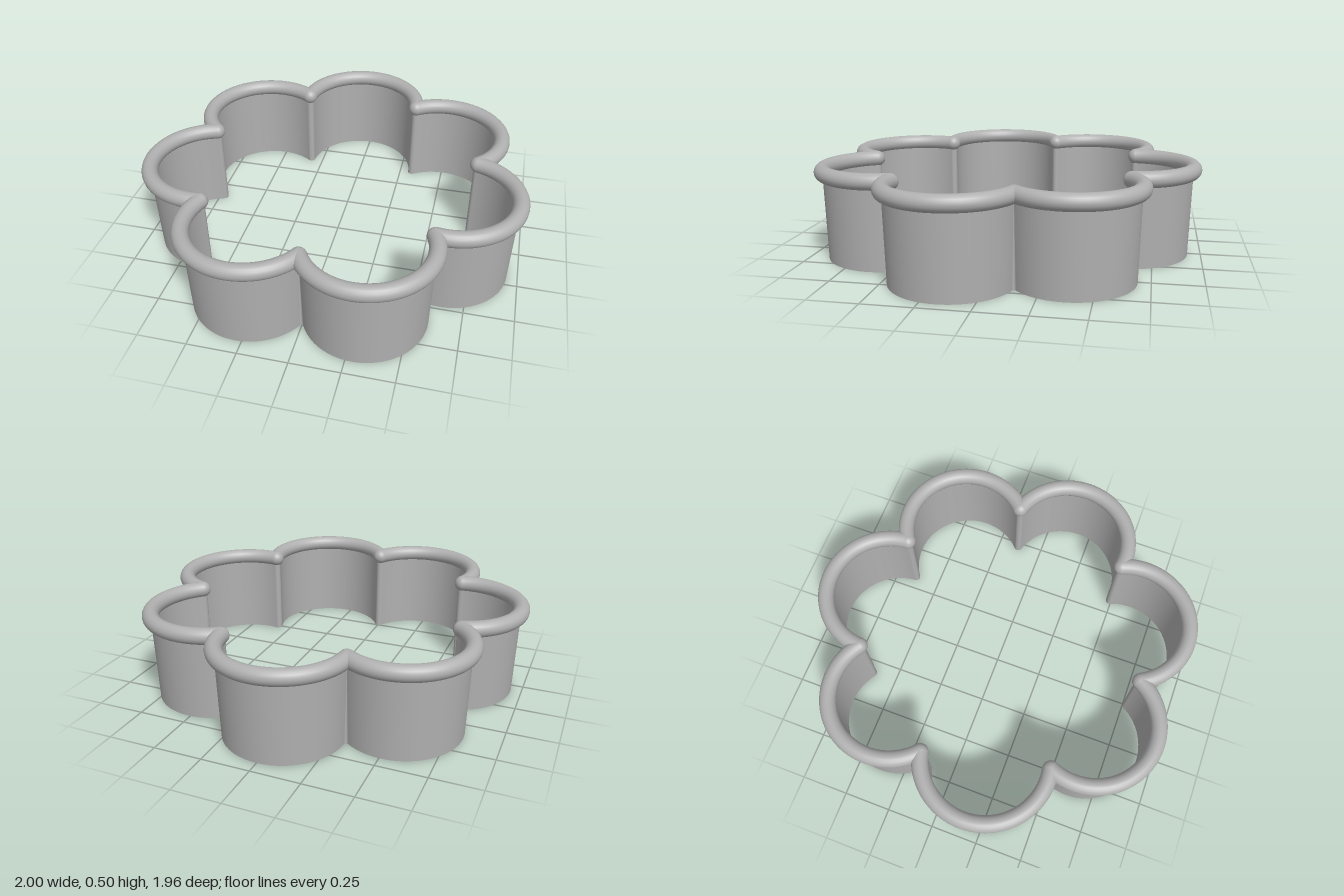
import * as THREE from 'three';

const PETALS = 7, BETA = Math.PI / PETALS;
const D = 0.65, R = 0.322;            // petal centre distance and petal radius
const TUBE = 0.042, RIM_Y = 0.455;    // rolled rim
const OFFSET_Z = 0.029;               // centres the odd-petalled outline in depth
const CUSP = D * Math.cos(BETA) + Math.sqrt(R * R - (D * Math.sin(BETA)) ** 2);
const PHI = Math.acos((CUSP * Math.cos(BETA) - D) / R); // half sweep of a petal arc

const dir = (a) => new THREE.Vector3(Math.sin(a), 0, -Math.cos(a));

// Closed outline: petal arcs, with a fan of normals at every cusp so inward offsets are rounded
function outline() {
  const pts = [], arc = 48, fan = 10;
  for (let k = 0; k < PETALS; k++) {
    const a = k * 2 * BETA;
    for (let i = 0; i <= arc; i++) {
      const n = dir(a - PHI + (2 * PHI * i) / arc);
      pts.push({ base: dir(a).multiplyScalar(D).addScaledVector(n, R), n });
    }
    const cusp = dir(a + BETA).multiplyScalar(CUSP);
    for (let i = 1; i < fan; i++) {
      const n = dir(a + PHI + ((2 * BETA - 2 * PHI) * i) / fan);
      pts.push({ base: cusp, n });
    }
  }
  pts.push(pts[0]);
  return pts;
}

// Strip between two offsets of the outline; each end is [inward offset, height]
function strip(pts, [t0, y0], [t1, y1]) {
  const pos = [], nor = [], index = [];
  const len = Math.hypot(t1 - t0, y1 - y0);
  const out = (y1 - y0) / len, up = (t1 - t0) / len;
  pts.forEach(({ base, n }, i) => {
    for (const [t, y] of [[t0, y0], [t1, y1]]) {
      pos.push(base.x - t * n.x, y, base.z - t * n.z);
      nor.push(n.x * out, up, n.z * out);
    }
    if (i < pts.length - 1) {
      const j = i * 2;
      index.push(j, j + 1, j + 2, j + 1, j + 3, j + 2);
    }
  });
  const g = new THREE.BufferGeometry();
  g.setAttribute('position', new THREE.Float32BufferAttribute(pos, 3));
  g.setAttribute('normal', new THREE.Float32BufferAttribute(nor, 3));
  g.setIndex(index);
  return g;
}

export function createModel() {
  const grey = new THREE.MeshStandardMaterial({ color: 0xb0b0b0 });
  grey.name = 'grey';
  const model = new THREE.Group();
  model.name = 'flowerCutter';
  const add = (parent, name, geometry) => {
    const mesh = new THREE.Mesh(geometry, grey);
    mesh.name = name;
    parent.add(mesh);
    return mesh;
  };

  // Thin wall, narrowing to the cutting edge at the bottom
  const wall = new THREE.Group();
  wall.name = 'wall';
  const profile = [[0.022, RIM_Y], [0.022, 0], [0.011, 0], [0, RIM_Y]];
  const pts = outline();
  ['innerWall', 'cuttingEdge', 'outerWall'].forEach((name, i) =>
    add(wall, name, strip(pts, profile[i], profile[i + 1])));

  // Rounded rim: one tube arc per petal with a ball at each cusp
  const rim = new THREE.Group();
  rim.name = 'rim';
  rim.position.y = RIM_Y;
  const arcGeometry = new THREE.TorusGeometry(R, TUBE, 20, 48, 2 * PHI).rotateX(Math.PI / 2);
  const ballGeometry = new THREE.SphereGeometry(TUBE, 24, 16);
  for (let k = 0; k < PETALS; k++) {
    const a = k * 2 * BETA;
    const arc = add(rim, 'rimArc', arcGeometry);
    arc.position.copy(dir(a).multiplyScalar(D));
    arc.rotation.y = -(a - PHI - Math.PI / 2);
    add(rim, 'rimJoint', ballGeometry).position.copy(dir(a + BETA).multiplyScalar(CUSP));
  }

  wall.position.z = rim.position.z = OFFSET_Z;
  model.add(wall, rim);
  return model;
}
